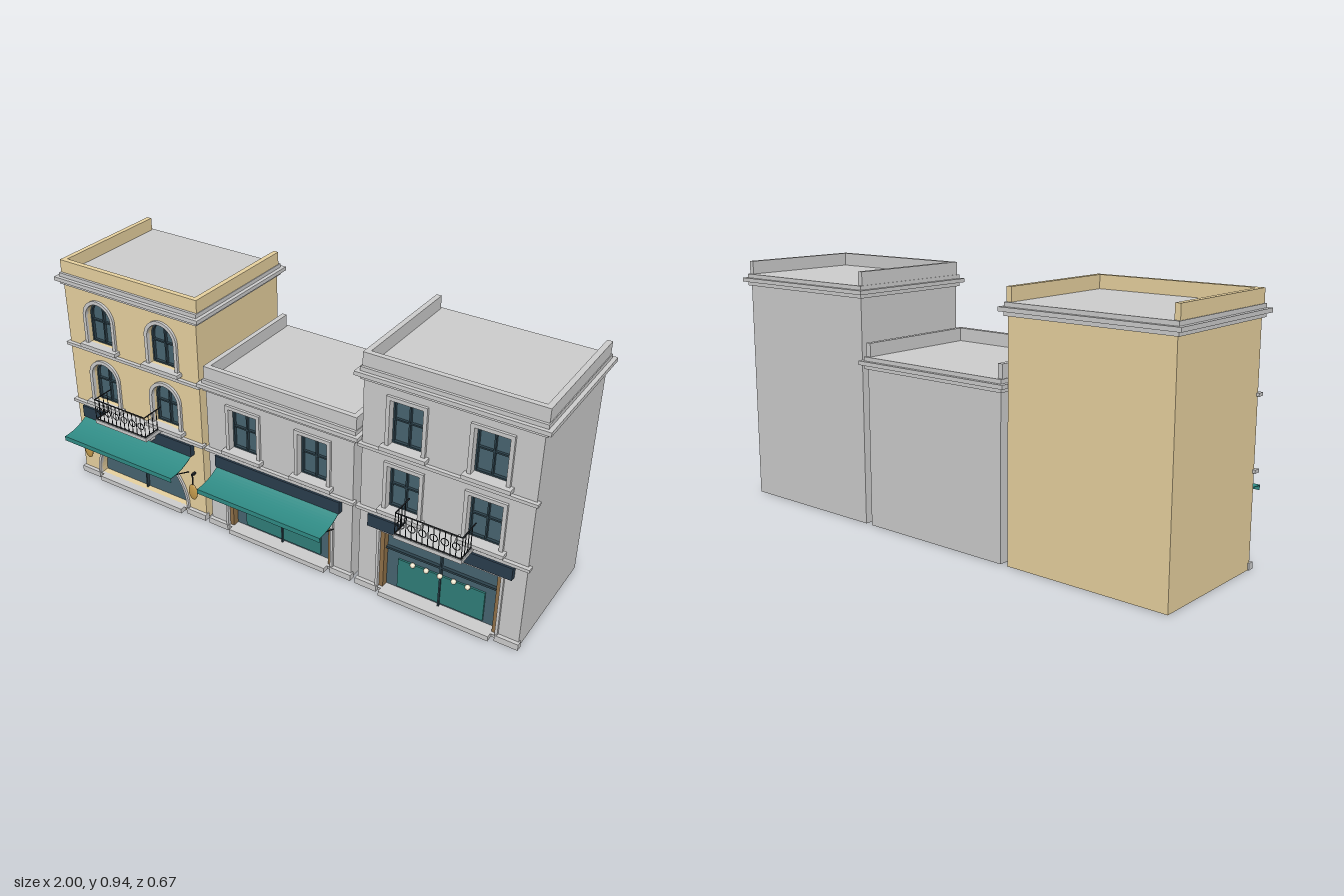
import * as THREE from 'three';

const mat = (color, side = THREE.FrontSide) => new THREE.MeshStandardMaterial({ color, side });
const GREY = mat(0xcccccc), TAN = mat(0xe6d09e), GLASS = mat(0x476370), FRAME = mat(0x2c414b);
const NAVY = mat(0x2a3d4d), TEAL = mat(0x2f8a84, THREE.DoubleSide), PANEL = mat(0x2f7d78);
const IRON = mat(0x22262a), BRASS = mat(0xc39a4c), WOOD = mat(0x8f7048), LAMP = mat(0xeee4cc);
const BACK = -0.31, FRONT = 0.195, INNER = 0.155, MID = (BACK + FRONT) / 2;

function add(parent, name, geometry, material) {
  const mesh = new THREE.Mesh(geometry, material);
  mesh.name = name;
  parent.add(mesh);
  return mesh;
}

// Box given by its limits on each axis
function box(parent, name, material, x0, x1, y0, y1, z0, z1) {
  const mesh = add(parent, name, new THREE.BoxGeometry(x1 - x0, y1 - y0, z1 - z0), material);
  mesh.position.set((x0 + x1) / 2, (y0 + y1) / 2, (z0 + z1) / 2);
  return mesh;
}

// Thin round bar between two points
function bar(parent, name, a, b, r = 0.002, material = IRON) {
  const from = new THREE.Vector3(...a), dir = new THREE.Vector3(...b).sub(from);
  const mesh = add(parent, name, new THREE.CylinderGeometry(r, r, dir.length(), 6), material);
  mesh.position.copy(from).addScaledVector(dir, 0.5);
  mesh.quaternion.setFromUnitVectors(new THREE.Vector3(0, 1, 0), dir.normalize());
}

// Outline of an opening: rectangular, or round-headed when arched
function outline({ x, y0, y1, hw, arched }, grow = 0, Kind = THREE.Shape) {
  const s = new Kind(), w = hw + grow;
  s.moveTo(x - w, y0);
  s.lineTo(x + w, y0);
  if (arched) {
    s.lineTo(x + w, y1 - hw);
    s.absarc(x, y1 - hw, w, 0, Math.PI, false);
  } else {
    s.lineTo(x + w, y1 + grow);
    s.lineTo(x - w, y1 + grow);
  }
  s.closePath();
  return s;
}

function extrude(shape, depth, z) {
  return new THREE.ExtrudeGeometry(shape, { depth, bevelEnabled: false, curveSegments: 20 }).translate(0, 0, z);
}

// Raised surround following an opening
function surround(parent, name, o, width, material) {
  const shape = outline(o, width);
  shape.holes.push(outline(o, 0, THREE.Path));
  add(parent, name, extrude(shape, 0.015, 0.19), material);
}

function addWindow(parent, o) {
  const g = new THREE.Group();
  g.name = 'window';
  parent.add(g);
  const { x, y0, y1, hw } = o;
  add(g, 'windowGlass', extrude(outline(o), 0.005, 0.16), GLASS);
  const sash = outline(o);
  sash.holes.push(outline({ ...o, hw: hw - 0.006, y0: y0 + 0.006, y1: y1 - 0.006 }, 0, THREE.Path));
  add(g, 'sash', extrude(sash, 0.012, 0.165), FRAME);
  box(g, 'mullion', FRAME, x - 0.003, x + 0.003, y0, y1 - 0.002, 0.165, 0.176);
  const ty = y0 + (y1 - y0) * 0.52;
  box(g, 'transom', FRAME, x - hw, x + hw, ty - 0.003, ty + 0.003, 0.165, 0.175);
  surround(g, 'windowSurround', o, 0.014, GREY);
  box(g, 'windowSill', GREY, x - 0.086, x + 0.086, y0 - 0.015, y0, 0.19, 0.224);
}

function addShopfront(parent, o) {
  const g = new THREE.Group();
  g.name = 'shopfront';
  parent.add(g);
  const { hw, y0, y1, arched } = o;
  add(g, 'shopGlass', extrude(outline(o), 0.005, 0.16), GLASS);
  surround(g, 'shopSurround', o, 0.01, GREY);
  box(g, 'doorMullion', FRAME, -0.003, 0.003, y0, y1, 0.165, 0.178);
  const ty = arched ? 0.165 : 0.19, span = arched ? 0.175 : hw;
  box(g, 'shopTransom', FRAME, -span, span, ty - 0.004, ty + 0.004, 0.165, 0.178);
  if (arched) return;
  for (const s of [-1, 1]) {
    const x = s * (hw - 0.008);
    box(g, 'doorPost', WOOD, x - 0.008, x + 0.008, y0, y1, 0.16, 0.192);
    box(g, 'displayPanel', PANEL, s < 0 ? -0.168 : 0.002, s < 0 ? -0.002 : 0.168, 0.03, 0.152, 0.165, 0.172);
  }
  for (let i = -2; i <= 2; i++) {
    const lamp = add(g, 'globeLamp', new THREE.SphereGeometry(0.01, 12, 8), LAMP);
    lamp.position.set(i * 0.053, 0.156, 0.18);
  }
}

function addAwning(parent) {
  const g = new THREE.Group();
  g.name = 'awning';
  parent.add(g);
  // Sagging canvas and front valance as one thin profile
  const p = new THREE.Shape();
  p.moveTo(0.205, 0.29);
  p.quadraticCurveTo(0.265, 0.25, 0.336, 0.254);
  p.lineTo(0.336, 0.235);
  p.lineTo(0.334, 0.235);
  p.lineTo(0.334, 0.252);
  p.quadraticCurveTo(0.265, 0.248, 0.205, 0.287);
  const geo = new THREE.ExtrudeGeometry(p, { depth: 0.536, bevelEnabled: false, curveSegments: 12 });
  add(g, 'awningCanvas', geo.rotateY(-Math.PI / 2).translate(0.268, 0, 0), TEAL);
  for (const x of [-0.24, 0.24]) bar(g, 'awningArm', [x, 0.196, 0.2], [x, 0.25, 0.332], 0.0025);
}

function addBalcony(parent) {
  const g = new THREE.Group();
  g.name = 'balcony';
  parent.add(g);
  const w = 0.123, z = 0.295, low = 0.364, top = 0.449;
  box(g, 'balconySlab', GREY, -0.127, 0.127, 0.345, 0.36, 0.19, 0.298);
  for (const x of [-0.09, 0.09]) box(g, 'balconyBracket', GREY, x - 0.011, x + 0.011, 0.31, 0.345, 0.19, 0.245);
  for (const y of [low, top]) {
    bar(g, 'frontRail', [-w, y, z], [w, y, z], 0.0025);
    for (const x of [-w, w]) bar(g, 'sideRail', [x, y, 0.2], [x, y, z], 0.0025);
  }
  const n = 12;
  for (let i = 0; i <= n; i++) {
    const x = -w + (2 * w * i) / n;
    bar(g, 'baluster', [x, 0.36, z], [x, top, z], 0.0016);
    if (i % 2 === 1 && i < n) {
      const ring = add(g, 'railRing', new THREE.TorusGeometry(0.014, 0.0016, 5, 16), IRON);
      ring.position.set(x, 0.406, z);
    }
  }
  for (const x of [-w, w]) for (let k = 1; k < 4; k++) bar(g, 'sideBaluster', [x, 0.36, z - k * 0.023], [x, top, z - k * 0.023], 0.0016);
}

function addLantern(parent, x) {
  bar(parent, 'lanternHanger', [x, 0.15, 0.213], [x, 0.205, 0.213], 0.003);
  box(parent, 'lanternBracket', IRON, x - 0.004, x + 0.004, 0.197, 0.205, 0.19, 0.216);
  const body = add(parent, 'lantern', new THREE.SphereGeometry(1, 20, 14), BRASS);
  body.scale.set(0.021, 0.035, 0.008);
  body.position.set(x, 0.122, 0.214);
}

function addBuilding(root, { name, x, floors, wall, arched, awning, balcony }) {
  const g = new THREE.Group();
  g.name = name;
  g.position.x = x;
  root.add(g);
  const eaves = 0.34 + floors * 0.255, hw = 0.315;

  // Openings, cut through the front wall
  const shop = arched ? { x: 0, y0: 0.02, y1: 0.252, hw: 0.225, arched } : { x: 0, y0: 0.02, y1: 0.272, hw: 0.23 };
  const windows = [];
  for (let f = 0; f < floors; f++)
    for (const wx of [-0.15, 0.15])
      windows.push({ x: wx, y0: 0.375 + f * 0.255, y1: 0.549 + f * 0.255, hw: 0.061, arched });
  box(g, 'buildingBody', wall, -hw, hw, 0, eaves, BACK, INNER);
  const facade = new THREE.Shape([[-hw, 0], [hw, 0], [hw, eaves], [-hw, eaves]].map(p => new THREE.Vector2(...p)));
  for (const o of [shop, ...windows]) facade.holes.push(outline(o, 0, THREE.Path));
  add(g, 'frontWall', extrude(facade, FRONT - INNER, INNER), wall);
  windows.forEach(o => addWindow(g, o));
  addShopfront(g, shop);

  // Plinths, step, string courses and sign board
  for (const s of [-1, 1]) {
    const a = s * (shop.hw + 0.002), b = s * 0.32;
    box(g, 'plinth', GREY, Math.min(a, b), Math.max(a, b), 0, 0.025, 0.185, 0.21);
  }
  box(g, 'doorStep', GREY, -shop.hw + 0.015, shop.hw - 0.015, 0, 0.02, 0.185, 0.224);
  for (let f = 0; f < floors; f++)
    box(g, 'stringCourse', GREY, -0.325, 0.325, 0.336 + f * 0.257, 0.348 + f * 0.257, 0.185, 0.21);
  box(g, 'signBoard', NAVY, -0.272, 0.272, 0.286, 0.335, 0.19, 0.217);

  // Stepped cornice closing the roof, with a parapet open at the back
  [[0.325, 0.01], [0.34, 0.024], [0.325, 0.01]].forEach(([w, out], i) => {
    const y = eaves + i * 0.015;
    box(g, 'cornice', GREY, -w, w, y, y + 0.015, BACK - out, FRONT + out);
  });
  const roof = eaves + 0.045, crest = eaves + 0.095;
  box(g, 'frontParapet', wall, -0.322, 0.322, roof, crest, FRONT - 0.02, FRONT);
  for (const s of [-1, 1])
    box(g, 'sideParapet', wall, s * 0.312 - 0.01, s * 0.312 + 0.01, roof, crest, BACK, FRONT - 0.02);

  if (awning) addAwning(g);
  if (balcony) addBalcony(g);
  if (arched) for (const lx of [-0.27, 0.27]) addLantern(g, lx);
}

export function createModel() {
  const root = new THREE.Group();
  root.name = 'shopRow';
  addBuilding(root, { name: 'archedShop', x: -0.66, floors: 2, wall: TAN, arched: true, awning: true, balcony: true });
  addBuilding(root, { name: 'lowShop', x: 0, floors: 1, wall: GREY, awning: true });
  addBuilding(root, { name: 'tallShop', x: 0.66, floors: 2, wall: GREY, balcony: true });
  return root;
}
